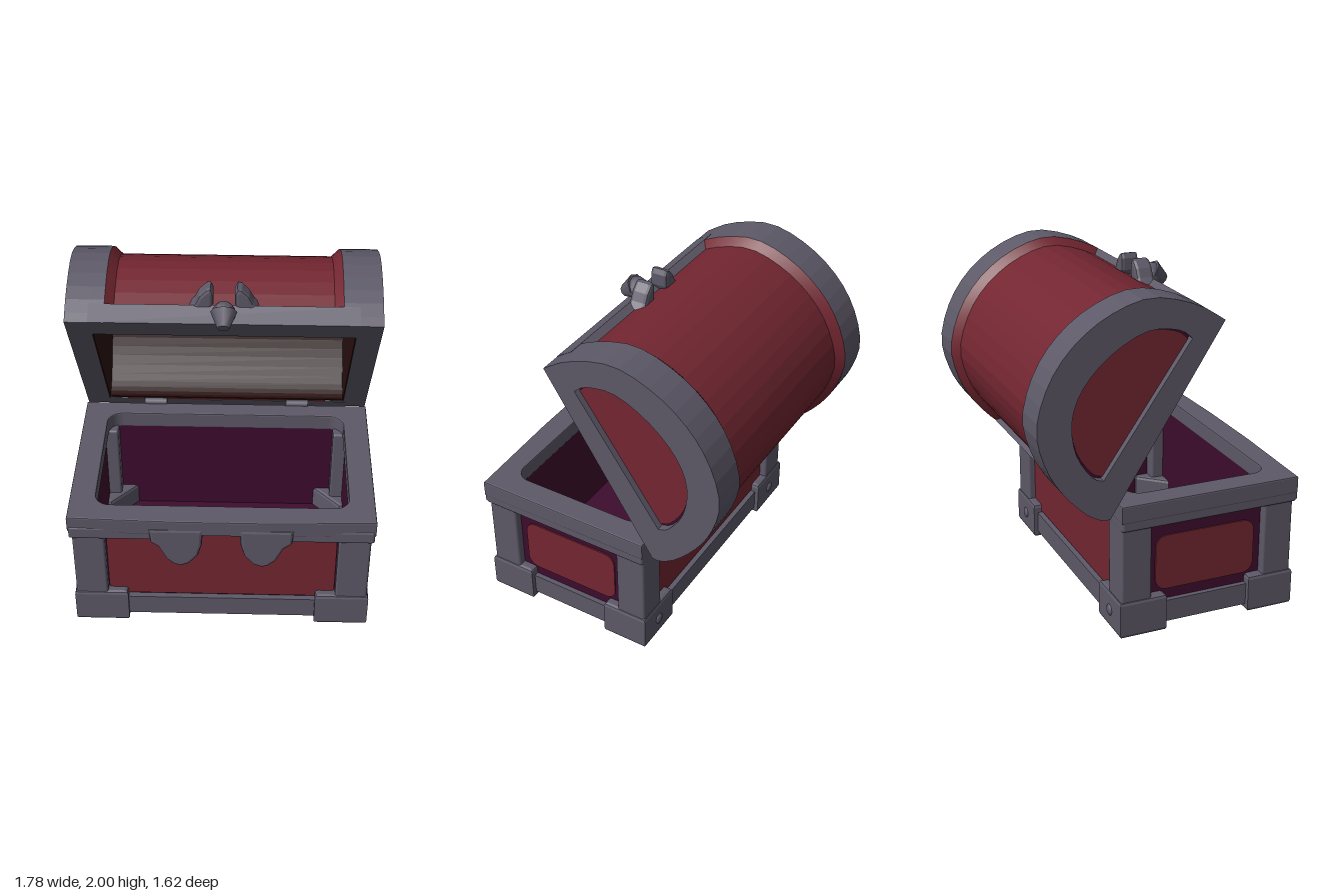
import * as THREE from 'three';
import { RoundedBoxGeometry } from 'three/addons/geometries/RoundedBoxGeometry.js';

const material = (name, color, side = THREE.FrontSide) => {
  const m = new THREE.MeshStandardMaterial({ color, side });
  m.name = name;
  return m;
};
const iron = material('iron grey', 0x5d5968);
const red = material('red panel', 0x732631, THREE.DoubleSide);
const purple = material('dark purple', 0x3e0c2e);
const brown = material('dark brown lining', 0x29100f);

const V = (p) => new THREE.Vector2(p[0], p[1]);
const ZC = 0.225; // middle of the base in z

export function createModel() {
  const chest = new THREE.Group();
  chest.name = 'chest';
  const base = new THREE.Group();
  base.name = 'base';
  const lid = new THREE.Group();
  lid.name = 'lid';
  chest.add(base, lid);

  const add = (parent, name, geo, mat) => {
    const mesh = new THREE.Mesh(geo, mat);
    mesh.name = name;
    parent.add(mesh);
    return mesh;
  };
  // box given by its limits
  const box = (x0, x1, y0, y1, z0, z1, r = 0.015) =>
    new RoundedBoxGeometry(x1 - x0, y1 - y0, z1 - z0, 2, r)
      .translate((x0 + x1) / 2, (y0 + y1) / 2, (z0 + z1) / 2);
  const extrude = (shape, depth, bevel = 0) => new THREE.ExtrudeGeometry(shape, {
    depth, bevelEnabled: bevel > 0, bevelSize: bevel, bevelThickness: bevel,
    bevelOffset: -bevel, bevelSegments: 2, curveSegments: 6,
  });
  // plan outline of [x, z] points raised from y0 to y1
  const planShape = (pts) => new THREE.Shape(pts.map(([x, z]) => new THREE.Vector2(x, -z)));
  const raise = (shape, y0, y1, bevel = 0) =>
    extrude(shape, y1 - y0 - 2 * bevel, bevel).rotateX(-Math.PI / 2).translate(0, y0 + bevel, 0);
  // side outline of [z, y] points run from x0 to x1
  const sideways = (shape, x0, x1) =>
    extrude(shape, x1 - x0).rotateY(-Math.PI / 2).translate(x1, 0, 0);
  const roundRect = (w, h, r, cx = 0, cy = 0, S = THREE.Shape) => {
    const s = new S();
    s.absarc(cx + w - r, cy + h - r, r, 0, Math.PI / 2);
    s.absarc(cx - w + r, cy + h - r, r, Math.PI / 2, Math.PI);
    s.absarc(cx - w + r, cy - h + r, r, Math.PI, Math.PI * 1.5);
    s.absarc(cx + w - r, cy - h + r, r, Math.PI * 1.5, Math.PI * 2);
    s.closePath();
    return s;
  };
  const ring = (w, d, hw, hd, r) => {
    const s = roundRect(w, d, 0.015, 0, -ZC);
    s.holes.push(roundRect(hw, hd, r, 0, -ZC, THREE.Path));
    return s;
  };

  // ---- base: hollow body, floor, rails ----
  add(base, 'bodyWalls', raise(ring(0.82, 0.495, 0.76, 0.44, 0.08), 0.05, 0.76), purple);
  add(base, 'floor', box(-0.81, 0.81, 0.045, 0.09, ZC - 0.49, ZC + 0.49, 0.005), purple);
  add(base, 'bottomRail', raise(ring(0.85, 0.53, 0.8, 0.475, 0.02), 0.04, 0.175), iron);

  // rim with a slightly bowed front edge
  const rim = planShape([[-0.89, 0.785], [-0.25, 0.805], [0.25, 0.805], [0.89, 0.785],
    [0.89, -0.325], [-0.89, -0.325]]);
  rim.holes.push(roundRect(0.74, 0.435, 0.09, 0, -ZC, THREE.Path));
  add(base, 'rim', raise(rim, 0.725, 0.83, 0.008), iron);
  add(base, 'rimSkirtBack', box(-0.885, 0.885, 0.67, 0.76, -0.322, -0.22), iron);

  // painted panels
  const longPanel = roundRect(0.675, 0.245, 0.07, 0, 0.43);
  add(base, 'frontPanel', extrude(longPanel, 0.008).translate(0, 0, ZC + 0.495), red);
  add(base, 'backPanel', extrude(longPanel, 0.008).translate(0, 0, ZC - 0.503), red);
  const endPanel = roundRect(0.315, 0.17, 0.07, ZC, 0.41);

  for (const s of [-1, 1]) {
    const span = (a, b) => (s > 0 ? [a, b] : [-b, -a]);
    add(base, 'endPanel', sideways(endPanel, ...span(0.82, 0.828)), red);
    add(base, 'rimSkirtSide', box(...span(0.77, 0.885), 0.67, 0.76, -0.322, 0.785), iron);
    add(base, 'rimSkirtFront', box(...span(0.36, 0.885), 0.675, 0.76, 0.68, 0.793), iron);
    // fangs hanging from the rim
    const fang = new THREE.Shape([[0.42, 0.77], [0.41, 0.67], [0.365, 0.635], [0.32, 0.54],
      [0.275, 0.498], [0.235, 0.486], [0.185, 0.508], [0.135, 0.57], [0.112, 0.65],
      [0.105, 0.77]].map(([x, y]) => new THREE.Vector2(x * s, y)));
    add(base, 'fang', extrude(fang, 0.06, 0.018).translate(0, 0, 0.732), iron);

    for (const t of [-1, 1]) {
      const z = (d) => ZC + t * d;
      const zs = [z(0.358), z(0.545)].sort((a, b) => a - b);
      add(base, 'cornerPost', box(...span(0.68, 0.87), 0.1, 0.74, ...zs), iron);
      const foot = planShape([[0.88, 0.555], [0.56, 0.555], [0.56, 0.46], [0.74, 0.265],
        [0.88, 0.265]].map(([x, d]) => [x * s, z(d)]));
      add(base, 'foot', raise(foot, 0, 0.23, 0.02), iron);
    }
    // rivets on the back feet
    const rivet = add(base, 'rivet', new THREE.SphereGeometry(0.035, 10, 6), iron);
    rivet.scale.z = 0.5;
    rivet.position.set(s * 0.72, 0.115, -0.328);
    // hinges
    const hinge = new THREE.CylinderGeometry(0.025, 0.025, 0.14, 8).rotateZ(Math.PI / 2);
    add(base, 'hinge', hinge.translate(s * 0.45, 0.835, -0.335), iron);
  }

  // ---- lid, tilted open: arch outline in [z, y] ----
  const arch = new THREE.SplineCurve([[0.275, 1.83], [0.1, 1.935], [-0.16, 1.998],
    [-0.4, 1.93], [-0.6, 1.79], [-0.74, 1.6], [-0.812, 1.36], [-0.77, 1.15],
    [-0.68, 0.985], [-0.55, 0.84], [-0.45, 0.778], [-0.395, 0.775]].map(V)).getPoints(30);
  const mid = arch[0].clone().add(arch[30]).multiplyScalar(0.5);
  const inset = (d) => arch.map((p) =>
    p.clone().add(mid.clone().sub(p).setLength(d)));
  const shell = (outer, inner) =>
    new THREE.Shape([...inset(outer), ...inset(inner).reverse()]);

  add(lid, 'barrel', sideways(shell(0.045, 0.1), -0.63, 0.63), red);
  add(lid, 'lining', sideways(shell(0.1, 0.12), -0.75, 0.75), brown);
  const rails = {
    lidFrontRail: [[0.276, 1.832], [0.18, 1.895], [0.1, 1.84], [0.195, 1.7]],
    lidBackRail: [[-0.394, 0.773], [-0.46, 0.778], [-0.54, 0.83], [-0.46, 0.9], [-0.352, 0.84]],
  };
  for (const [name, pts] of Object.entries(rails))
    add(lid, name, sideways(new THREE.Shape(pts.map(V)), -0.76, 0.76), iron);

  // end frames with a window for the panels
  const windowPts = new THREE.SplineCurve([[0.08, 1.75], [0, 1.805], [-0.18, 1.82],
    [-0.39, 1.715], [-0.55, 1.55], [-0.615, 1.37], [-0.59, 1.18], [-0.5, 1.04],
    [-0.435, 1.01]].map(V)).getPoints(24);
  const frame = new THREE.Shape(arch);
  frame.holes.push(new THREE.Path(windowPts));
  const centre = new THREE.Vector2(-0.2, 1.4);
  const panel = new THREE.Shape(windowPts.map((p) => p.clone().lerp(centre, 0.03)));

  for (const s of [-1, 1]) {
    const span = (a, b) => (s > 0 ? [a, b] : [-b, -a]);
    add(lid, 'endFrame', sideways(frame, ...span(0.75, 0.89)), iron);
    add(lid, 'endBacking', sideways(new THREE.Shape(windowPts), ...span(0.8, 0.845)), purple);
    add(lid, 'lidEndPanel', sideways(panel, ...span(0.845, 0.853)), red);
    add(lid, 'endLining', sideways(new THREE.Shape(inset(0.05)), ...span(0.742, 0.75)), brown);
    add(lid, 'band', sideways(shell(0, 0.1), ...span(0.67, 0.75)), iron);

    // sloped step from band down to barrel
    const low = inset(0.05), pos = [], idx = [];
    arch.forEach((p, i) => {
      pos.push(s * 0.67, p.y, p.x, s * 0.615, low[i].y, low[i].x);
      if (i) idx.push(2 * i - 2, 2 * i - 1, 2 * i, 2 * i - 1, 2 * i + 1, 2 * i);
    });
    if (s < 0) idx.reverse();
    const step = new THREE.BufferGeometry();
    step.setAttribute('position', new THREE.Float32BufferAttribute(pos, 3));
    step.setIndex(idx);
    step.computeVertexNormals();
    add(lid, 'bandStep', step, red);

    // small horns of the clasp
    const horn = new THREE.Shape([[0.195, 1.87], [0.165, 1.905], [0.14, 1.955], [0.1, 1.995],
      [0.075, 2], [0.06, 1.97], [0.06, 1.9], [0.08, 1.86]]
      .map(([x, y]) => new THREE.Vector2(x * s, y)));
    add(lid, 'claspHorn', extrude(horn, 0.07, 0.02).translate(0, 0, 0.1), iron);
  }

  // clasp knob, narrowing forward and down
  const knob = new THREE.CylinderGeometry(0.035, 0.075, 0.1, 8);
  add(lid, 'claspKnob', knob.rotateX(Math.PI * 0.68).translate(0, 1.865, 0.285), iron);
  add(lid, 'claspBoss', new THREE.SphereGeometry(0.07, 8, 6).translate(0, 1.88, 0.24), iron);
  return chest;
}
